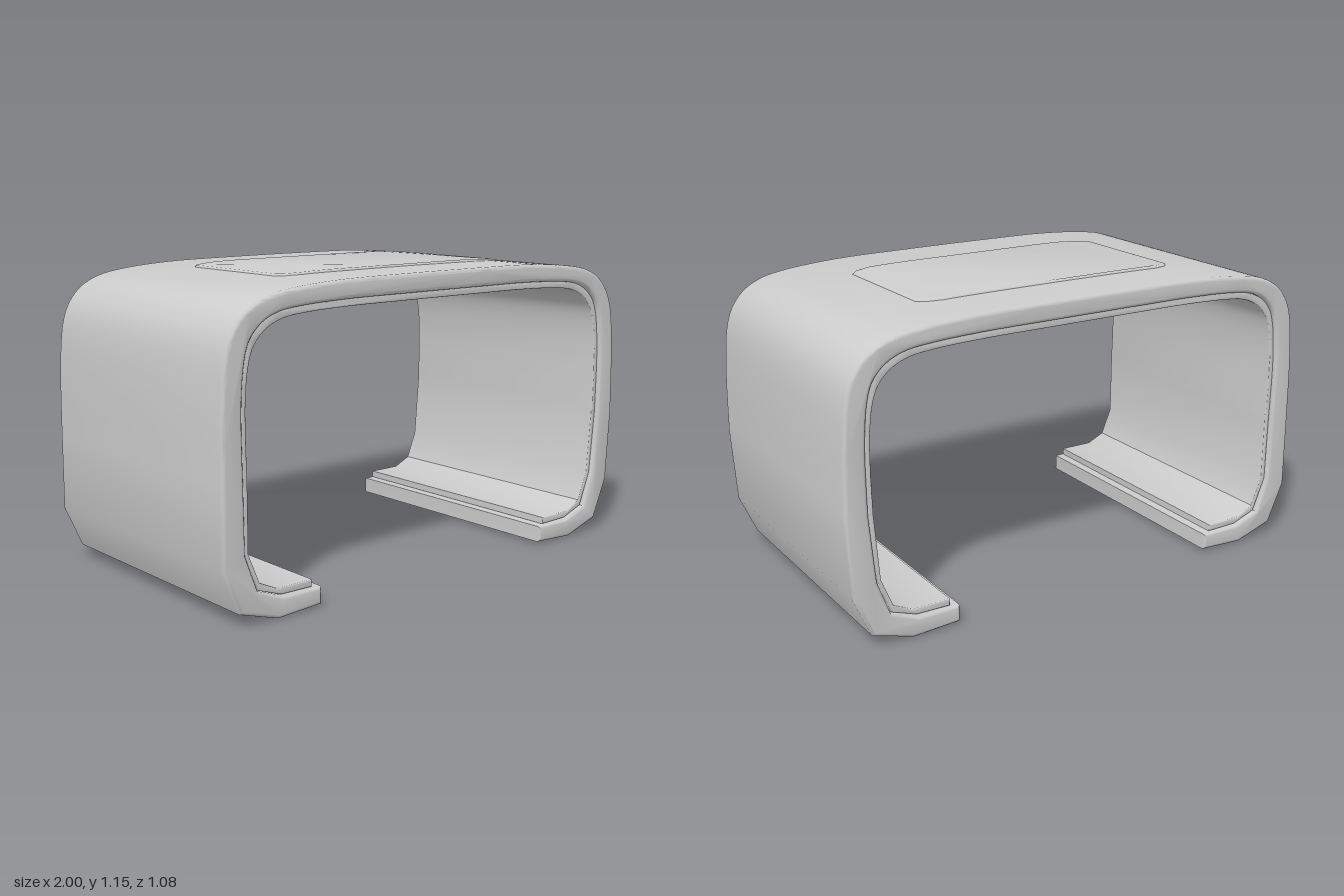
import * as THREE from 'three';
import { toCreasedNormals } from 'three/addons/utils/BufferGeometryUtils.js';

const V = (p) => new THREE.Vector2(p[0], p[1]);
// left side of the curl sits slightly further out near the bottom
const mirror = ([x, y]) => [y < 0.3 ? -Math.min(x + 0.02, 1) : -x, y];

// open C path from the left tip, over the top, to the right tip
function cPath(lower, upper, steps) {
  const arch = [...lower.slice(-1), ...upper];
  const spline = new THREE.SplineCurve([
    ...arch.map(mirror), ...arch.slice().reverse(),
  ].map(V));
  return [
    ...lower.slice(0, -1).map(mirror).map(V),
    ...spline.getPoints(steps),
    ...lower.slice(0, -1).reverse().map(V),
  ];
}

// extrudes a closed outline along z with softly rounded front and back edges
function extrudeBand(outline, halfDepth, bevel) {
  const geo = new THREE.ExtrudeGeometry(new THREE.Shape(outline), {
    depth: 2 * (halfDepth - bevel), steps: 1,
    bevelEnabled: true, bevelSize: bevel, bevelThickness: bevel, bevelOffset: -bevel, bevelSegments: 3,
  });
  geo.translate(0, 0, -(halfDepth - bevel));
  return toCreasedNormals(geo, 0.7);
}

export function createModel() {
  const group = new THREE.Group();
  const material = new THREE.MeshStandardMaterial({ color: 0xcccccc });
  const add = (name, geo) => {
    const mesh = new THREE.Mesh(geo, material);
    mesh.name = name;
    group.add(mesh);
  };

  // right-hand half profiles: tip and lower corner, then the upper corner
  const outer = cPath(
    [[0.56, 0.01], [0.75, 0], [0.91, 0.05], [0.98, 0.21], [0.998, 0.5]],
    [[0.993, 0.75], [0.975, 0.93], [0.93, 1.03], [0.85, 1.092], [0.73, 1.123], [0.5, 1.142], [0.2, 1.146]], 80);
  const middle = cPath(
    [[0.56, 0.075], [0.73, 0.078], [0.835, 0.115], [0.885, 0.25], [0.908, 0.5]],
    [[0.91, 0.75], [0.892, 0.92], [0.85, 1.0], [0.77, 1.048], [0.65, 1.066], [0.45, 1.074], [0.2, 1.075]], 80);
  const linerTop = cPath(
    [[0.595, 0.078], [0.73, 0.08], [0.83, 0.116], [0.883, 0.25], [0.906, 0.5]],
    [[0.909, 0.75], [0.891, 0.92], [0.849, 1.0], [0.769, 1.048], [0.65, 1.067], [0.45, 1.075], [0.2, 1.076]], 80);
  const inner = cPath(
    [[0.595, 0.105], [0.745, 0.105], [0.82, 0.14], [0.865, 0.25], [0.885, 0.5]],
    [[0.888, 0.75], [0.87, 0.9], [0.83, 0.975], [0.755, 1.022], [0.65, 1.04], [0.45, 1.048], [0.2, 1.049]], 80);

  // main band and the thin liner set slightly back inside it
  add('band', extrudeBand([...outer, ...middle.reverse()], 0.54, 0.014));
  add('liner', extrudeBand([...linerTop, ...inner.reverse()], 0.525, 0.004));

  // raised top plate with clipped corners, bent to follow the band
  const w = 0.56, d = 0.3, c = 0.05;
  const edge = [];
  for (let i = 0; i <= 16; i++) edge.push([-(w - 0.09) + i * (2 * (w - 0.09)) / 16, -d]);
  const half = [[-w, -d + c], [-w + 0.025, -d + 0.02], ...edge, [w - 0.025, -d + 0.02], [w, -d + c]];
  const plateOutline = [...half, ...half.map(([x, y]) => [-x, -y])].map(V);
  const plate = new THREE.ExtrudeGeometry(new THREE.Shape(plateOutline), {
    depth: 0.03, bevelEnabled: true, bevelSize: 0.012, bevelThickness: 0.008, bevelOffset: -0.012, bevelSegments: 3,
  });
  plate.rotateX(-Math.PI / 2);
  plate.translate(0.005, 1.154 - 0.038, -0.004);
  const pos = plate.attributes.position;
  for (let i = 0; i < pos.count; i++) {
    const over = Math.max(0, Math.abs(pos.getX(i)) - 0.3);
    pos.setY(i, pos.getY(i) - 0.13 * over * over);
  }
  add('topPlate', toCreasedNormals(plate, 0.7));

  return group;
}
